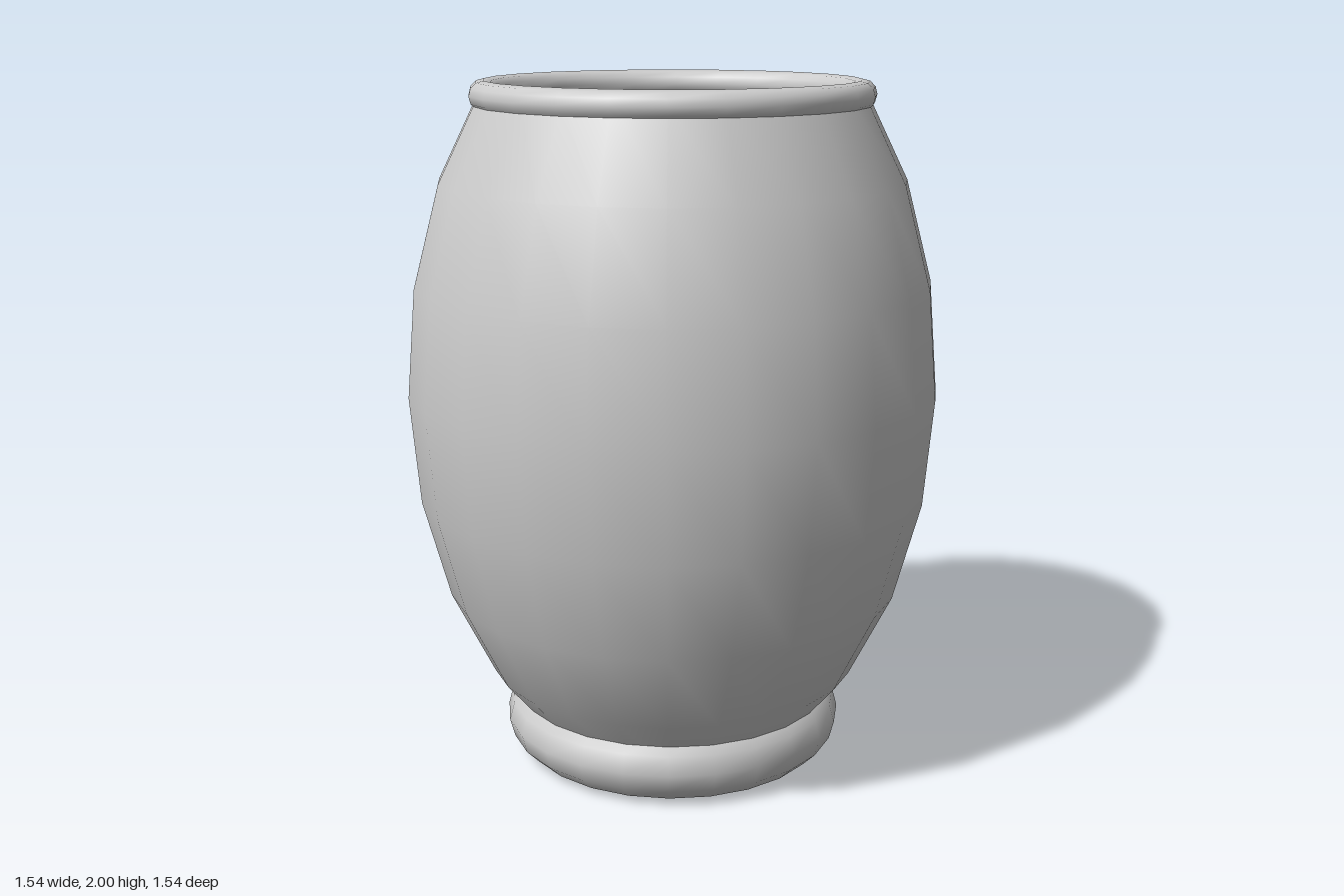
import * as THREE from 'three';

const SIDES = 24;
const material = new THREE.MeshStandardMaterial({ color: 0xcccccc });

// Curved barrel wall: an ellipse arc from 60 degrees below to 45 above its middle
function wallPoints(inset) {
  const a = 0.77, h = 1.2, points = [];
  for (let deg = -60; deg <= 45; deg += 15) {
    const t = THREE.MathUtils.degToRad(deg);
    const n = new THREE.Vector2(Math.cos(t) / a, Math.sin(t) / h).normalize();
    points.push(new THREE.Vector2(a * Math.cos(t) - n.x * inset, 1.12 + h * Math.sin(t) - n.y * inset));
  }
  return points;
}

export function createModel() {
  const group = new THREE.Group();
  const add = (name, geometry, y = 0) => {
    const mesh = new THREE.Mesh(geometry, material);
    mesh.name = name;
    mesh.position.y = y;
    group.add(mesh);
  };
  const ring = (radius, tube) => new THREE.TorusGeometry(radius, tube, 12, SIDES).rotateX(Math.PI / 2);

  // Hollow body, with the inner profile reversed to face the axis
  add('outerWall', new THREE.LatheGeometry(wallPoints(0), SIDES));
  add('innerWall', new THREE.LatheGeometry(wallPoints(0.044).reverse(), SIDES));

  // Rings that cover both open ends of the wall
  add('rim', ring(0.533, 0.042), 1.958);
  add('foot', ring(0.398, 0.107), 0.107);
  return group;
}
